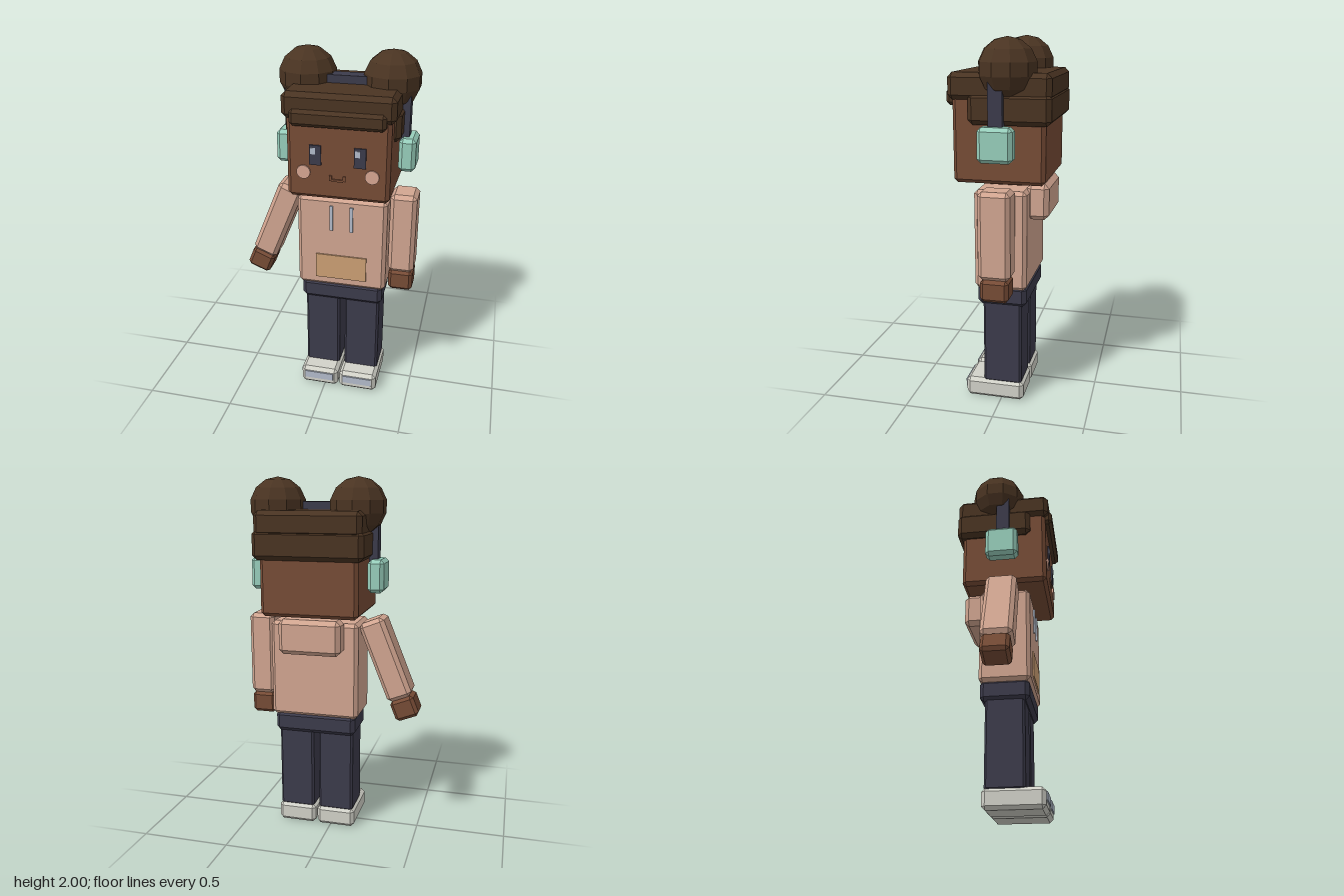
import * as THREE from 'three';
import { ConvexGeometry } from 'three/addons/geometries/ConvexGeometry.js';

const CX = 0.085; // body axis

function material(name, color) {
  const m = new THREE.MeshStandardMaterial({ color });
  m.name = name;
  return m;
}

// Box with bevelled edges and corners, centred on the origin
function bevelBox(w, h, d, b) {
  const pts = [];
  for (const sx of [-1, 1]) for (const sy of [-1, 1]) for (const sz of [-1, 1]) {
    const x = w / 2, y = h / 2, z = d / 2;
    pts.push(new THREE.Vector3(sx * x, sy * (y - b), sz * (z - b)));
    pts.push(new THREE.Vector3(sx * (x - b), sy * y, sz * (z - b)));
    pts.push(new THREE.Vector3(sx * (x - b), sy * (y - b), sz * z));
  }
  return new ConvexGeometry(pts);
}

export function createModel() {
  const skin = material('skin brown', 0x774c36);
  const hair = material('hair brown', 0x4a3422);
  const hoodie = material('hoodie pink', 0xd2a691);
  const navy = material('navy', 0x3c3b4b);
  const mint = material('mint', 0x98cfbc);
  const white = material('shoe white', 0xd2d2c9);
  const pale = material('pale blue grey', 0xb3bccb);
  const tan = material('pocket tan', 0xcda075);
  const blush = material('blush', 0xd8a793);

  const model = new THREE.Group();
  model.name = 'character';

  const add = (name, geometry, mat, x, y, z, parent = model) => {
    const mesh = new THREE.Mesh(geometry, mat);
    mesh.name = name;
    mesh.position.set(x, y, z);
    parent.add(mesh);
    return mesh;
  };
  // Box given by its limits; bevel 0 makes a plain box
  const block = (name, mat, [x0, x1], [y0, y1], [z0, z1], bevel = 0) => {
    const size = [x1 - x0, y1 - y0, z1 - z0];
    const geometry = bevel ? bevelBox(...size, bevel) : new THREE.BoxGeometry(...size);
    return add(name, geometry, mat, (x0 + x1) / 2, (y0 + y1) / 2, (z0 + z1) / 2);
  };
  const wide = (w) => [CX - w / 2, CX + w / 2];

  // Head and neck
  block('head', skin, wide(0.543), [1.262, 1.76], [-0.248, 0.237], 0.02);
  block('neck', skin, wide(0.18), [1.18, 1.28], [-0.095, 0.085]);

  // Hair
  block('hairCap', hair, wide(0.588), [1.69, 1.828], [-0.278, 0.257], 0.025);
  block('backHair', hair, wide(0.61), [1.568, 1.73], [-0.28, 0.15], 0.025);
  block('fringe', hair, wide(0.497), [1.658, 1.745], [0.2, 0.275], 0.018);

  // Face details, hair buns, headphones, legs and shoes, mirrored about the body axis
  for (const [s, side] of [[1, 'left'], [-1, 'right']]) {
    const mid = (x, w) => [CX + s * x - w / 2, CX + s * x + w / 2];
    const bun = new THREE.SphereGeometry(0.155, 10, 7).rotateY(Math.PI / 2).toNonIndexed();
    bun.computeVertexNormals();
    add(side + 'Bun', bun, hair, CX + s * 0.226, 1.846, -0.045);

    const eye = CX + s * 0.117;
    block(side + 'Eye', navy, [eye - 0.031, eye + 0.031], [1.452, 1.558], [0.237, 0.246]);
    block(side + 'EyeHighlight', pale, [eye - 0.025, eye + 0.001], [1.511, 1.545], [0.246, 0.25]);
    const cheek = new THREE.CylinderGeometry(0.037, 0.037, 0.009, 16).rotateX(Math.PI / 2);
    add(side + 'Cheek', cheek, blush, CX + s * 0.181, 1.408, 0.241);

    block(side + 'HeadphoneArm', navy, mid(0.31, 0.05), [1.46, 1.862], [-0.042, 0.032]);
    block(side + 'EarCup', mint, mid(0.332, 0.09), [1.388, 1.568], [-0.1, 0.083], 0.02);

    block(side + 'Leg', navy, mid(0.116, 0.202), [0.1, 0.6], [-0.115, 0.1], 0.012);
    block(side + 'Shoe', white, mid(0.116, 0.222), [0, 0.112], [-0.127, 0.202], 0.02);
    block(side + 'ToePatch', pale, mid(0.116, 0.17), [0.045, 0.09], [0.2, 0.209]);
    block(side + 'Drawstring', pale, mid(0.056, 0.018), [1.033, 1.18], [0.135, 0.147]);
  }
  block('headband', navy, wide(0.66), [1.815, 1.87], [-0.05, 0.032]);

  // Smile from three small bars
  block('smileMiddle', skin, wide(0.06), [1.368, 1.38], [0.237, 0.246]);
  for (const s of [-1, 1]) {
    const x = CX + s * 0.036;
    block('smileCorner', skin, [x - 0.007, x + 0.007], [1.372, 1.4], [0.237, 0.246]);
  }

  // Hoodie and hips
  block('torso', hoodie, wide(0.501), [0.675, 1.222], [-0.148, 0.137], 0.02);
  block('hood', hoodie, wide(0.35), [1.055, 1.25], [-0.25, -0.13], 0.025);
  block('pocket', tan, wide(0.288), [0.73, 0.877], [0.135, 0.145]);
  block('hips', navy, wide(0.465), [0.572, 0.69], [-0.143, 0.127], 0.022);

  // Arms, the right one swung outwards
  const addArm = (name, x, y, angle) => {
    const arm = new THREE.Group();
    arm.name = name;
    arm.position.set(x, y, -0.007);
    arm.rotation.z = angle;
    add('sleeve', bevelBox(0.145, 0.47, 0.172, 0.022), hoodie, 0, 0, 0, arm);
    add('hand', bevelBox(0.138, 0.122, 0.152, 0.018), skin, 0, -0.295, 0, arm);
    model.add(arm);
  };
  addArm('leftArm', 0.412, 1.012, 0);
  addArm('rightArm', -0.307, 1.016, -0.385);

  return model;
}
